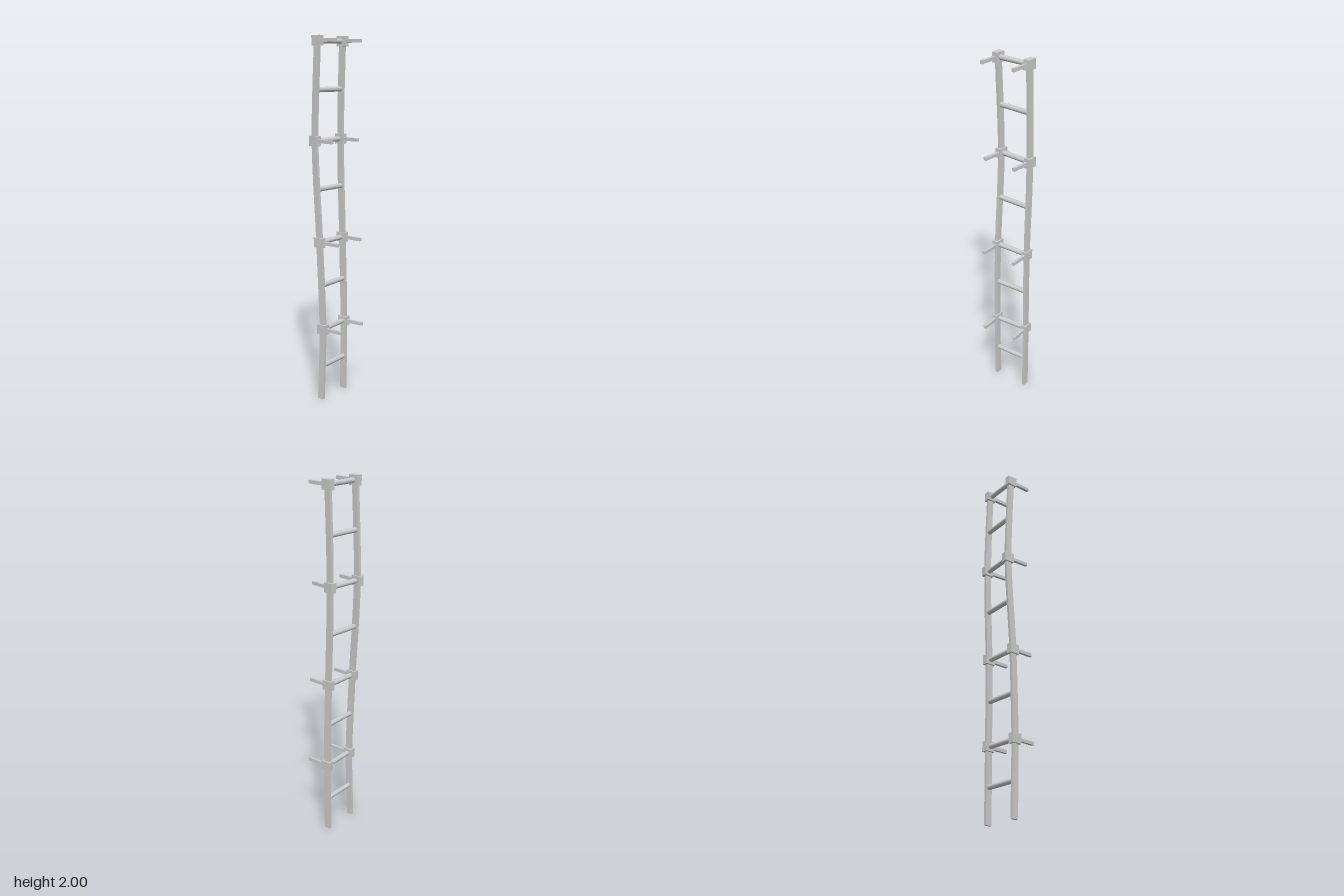
import * as THREE from 'three';

const HALF = 0.1; // half the distance between rails

// Centre line of the ladder, and its twist (degrees) at each knot
const centre = new THREE.CatmullRomCurve3([
  [-0.022, 0, -0.03], [-0.016, 0.41, -0.027], [-0.027, 0.9, -0.033],
  [-0.04, 1.45, -0.052], [-0.03, 2, -0.038],
].map((p) => new THREE.Vector3(...p)));
const twist = [39.5, 42, 39, 34, 36.5];

// Position and heading at knot parameter k (0..4)
function frameAt(k) {
  const i = Math.min(Math.floor(k), 3);
  const angle = THREE.MathUtils.degToRad(THREE.MathUtils.lerp(twist[i], twist[i + 1], k - i));
  return { position: centre.getPoint(k / 4), angle };
}

// Flat board swept along the bent, twisted centre line
function railGeometry(side) {
  const geo = new THREE.BoxGeometry(0.016, 1, 0.036, 1, 32, 1);
  const pos = geo.attributes.position;
  const v = new THREE.Vector3();
  for (let i = 0; i < pos.count; i++) {
    v.fromBufferAttribute(pos, i);
    const { position, angle } = frameAt((v.y + 0.5) * 4);
    v.set(v.x + side * HALF, 0, v.z).applyAxisAngle(THREE.Object3D.DEFAULT_UP, angle).add(position);
    pos.setXYZ(i, v.x, v.y, v.z);
  }
  geo.computeVertexNormals();
  return geo;
}

export function createModel() {
  const model = new THREE.Group();
  model.name = 'ladder';
  const material = new THREE.MeshStandardMaterial({ color: 0xcccccc });

  const add = (parent, name, geo, x = 0, y = 0, z = 0) => {
    const mesh = new THREE.Mesh(geo, material);
    mesh.name = name;
    mesh.position.set(x, y, z);
    parent.add(mesh);
    return mesh;
  };

  // Rails
  add(model, 'leftRail', railGeometry(1));
  add(model, 'rightRail', railGeometry(-1));

  // Rungs, with wall brackets on every second one
  const rungGeo = new THREE.CylinderGeometry(0.014, 0.014, HALF * 2, 12).rotateZ(Math.PI / 2);
  const collarGeo = new THREE.BoxGeometry(0.034, 0.054, 0.056);
  const armGeo = new THREE.BoxGeometry(0.016, 0.018, 0.12);
  const rungHeights = [0.195, 0.41, 0.66, 0.9, 1.19, 1.45, 1.72, 1.973];

  rungHeights.forEach((y, i) => {
    const { position, angle } = frameAt((i + 1) / 2);
    const step = new THREE.Group();
    step.name = `step${i + 1}`;
    step.position.set(position.x, y, position.z);
    step.rotation.y = angle;
    add(step, 'rung', rungGeo);
    if (i % 2 === 1) {
      for (const side of [-1, 1]) {
        const prefix = side > 0 ? 'left' : 'right';
        add(step, `${prefix}Collar`, collarGeo, side * HALF);
        add(step, `${prefix}WallArm`, armGeo, side * HALF, 0, 0.068);
      }
    }
    model.add(step);
  });

  return model;
}
